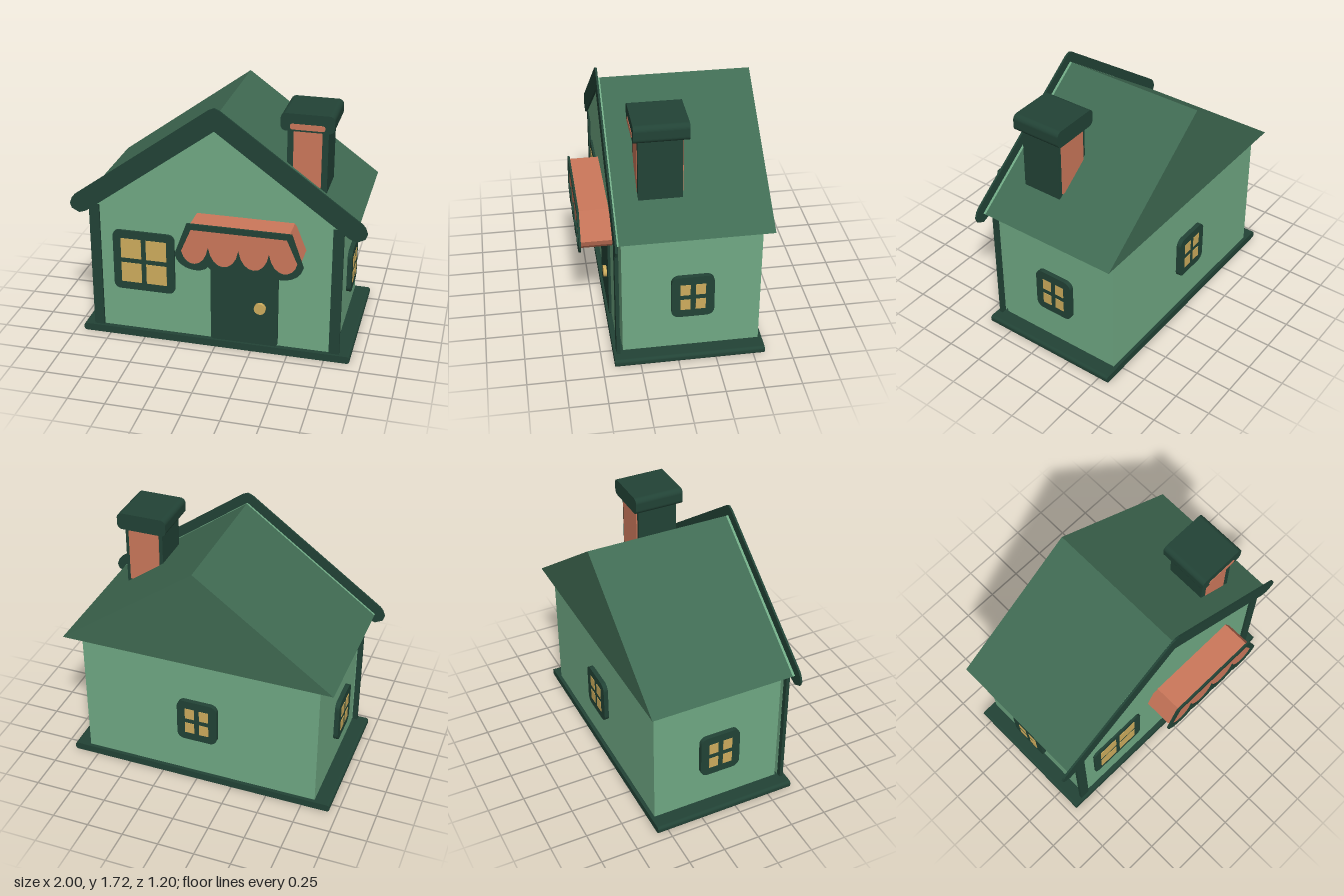
import * as THREE from 'three';

const mat = (name, color) => {
  const m = new THREE.MeshStandardMaterial({ color });
  m.name = name;
  return m;
};

export function createModel() {
  const house = new THREE.Group();
  house.name = 'house';
  const wallGreen = mat('wallGreen', 0x70a984);
  const darkGreen = mat('darkGreen', 0x224336);
  const roofGreen = mat('roofGreen', 0x406b53);
  const coral = mat('coral', 0xcc785b);
  const gold = mat('gold', 0xcfad5d);

  const add = (name, geometry, material, parent = house) => {
    const m = new THREE.Mesh(geometry, material);
    m.name = name;
    parent.add(m);
    return m;
  };
  // Box given by its limits
  const box = (name, x0, x1, y0, y1, z0, z1, material, parent) => {
    const g = new THREE.BoxGeometry(x1 - x0, y1 - y0, z1 - z0);
    g.translate((x0 + x1) / 2, (y0 + y1) / 2, (z0 + z1) / 2);
    return add(name, g, material, parent);
  };
  // Front outline pushed from z0 to z1
  const slab = (name, shape, z0, z1, material, parent) => {
    const g = new THREE.ExtrudeGeometry(shape, { depth: z1 - z0, bevelEnabled: false, curveSegments: 8 });
    g.translate(0, 0, z0);
    return add(name, g, material, parent);
  };
  const polygon = (pts) => new THREE.Shape(pts.map(([x, y]) => new THREE.Vector2(x, y)));
  const rounded = (x0, x1, y0, y1, r) => {
    const s = new THREE.Shape();
    s.moveTo(x0 + r, y0);
    s.lineTo(x1 - r, y0);
    s.absarc(x1 - r, y0 + r, r, -Math.PI / 2, 0);
    s.absarc(x1 - r, y1 - r, r, 0, Math.PI / 2);
    s.absarc(x0 + r, y1 - r, r, Math.PI / 2, Math.PI);
    s.absarc(x0 + r, y0 + r, r, Math.PI, Math.PI * 1.5);
    return s;
  };

  // Base, body and front wall
  slab('base', rounded(-0.945, 0.925, 0, 0.052, 0.02), -0.575, 0.42, darkGreen);
  box('body', -0.835, 0.815, 0.02, 0.97, -0.55, 0.357, wallGreen);
  box('frontWall', -0.835, 0.815, 0.04, 0.97, 0.377, 0.386, wallGreen);
  for (const [x0, x1] of [[-0.87, -0.8], [0.78, 0.85]]) {
    box('cornerPost', x0, x1, 0.04, 0.972, 0.378, 0.402, darkGreen);
  }

  // Roof with its front gable and bargeboard
  const gable = polygon([[-0.932, 0.97], [0.932, 0.97], [0, 1.65]]);
  slab('roof', gable, -0.6, 0.382, roofGreen);
  slab('frontGable', gable, 0.382, 0.398, wallGreen);
  const half = [
    [0.035, 1.706], [0.965, 1.03], [0.985, 1.005], [1, 0.965],
    [0.988, 0.93], [0.935, 0.903], [0.885, 0.921],
  ];
  const mirrored = half.map(([x, y]) => [-x, y]).reverse();
  slab('bargeboard', polygon([[0, 1.72], ...half, [0, 1.567], ...mirrored]), 0.398, 0.411, darkGreen);

  // Windows, built facing +z and then turned outward
  const windowUnit = (name, w, h, r, depth, paneW, paneH, gapX, gapY, pos, turn) => {
    const unit = new THREE.Group();
    unit.name = name;
    slab('windowFrame', rounded(-w / 2, w / 2, -h / 2, h / 2, r), 0, depth, darkGreen, unit);
    for (const sx of [-1, 1]) for (const sy of [-1, 1]) {
      const cx = sx * (paneW + gapX) / 2, cy = sy * (paneH + gapY) / 2;
      box('windowPane', cx - paneW / 2, cx + paneW / 2, cy - paneH / 2, cy + paneH / 2,
        depth - 0.002, depth + 0.003, gold, unit);
    }
    unit.position.set(...pos);
    unit.rotation.y = turn;
    house.add(unit);
  };
  windowUnit('frontWindow', 0.43, 0.44, 0.045, 0.028, 0.142, 0.145, 0.034, 0.035, [-0.497, 0.577, 0.373], 0);
  const small = [0.28, 0.312, 0.05, 0.031, 0.065, 0.08, 0.035, 0.035];
  windowUnit('leftWindow', ...small, [0.83, 0.477, -0.098], Math.PI / 2);
  windowUnit('rightWindow', ...small, [-0.855, 0.477, -0.098], -Math.PI / 2);
  windowUnit('backWindow', ...small, [-0.015, 0.51, -0.567], Math.PI);

  // Door and knob
  slab('door', rounded(-0.032, 0.43, 0.05, 0.8, 0.025), 0.38, 0.403, darkGreen);
  const knob = new THREE.CylinderGeometry(0.04, 0.04, 0.025, 16);
  knob.rotateX(Math.PI / 2);
  knob.translate(0.31, 0.335, 0.413);
  add('doorKnob', knob, gold);

  // Awning outline: sloped sides and four scallops along the bottom
  const awningShape = (topX0, topX1, topY, sideX0, sideX1, sideY, cuspY, bottomY) => {
    const s = new THREE.Shape();
    s.moveTo(topX1, topY);
    s.lineTo(topX0, topY);
    s.lineTo(sideX0, sideY);
    const xs = [sideX0, 0.005, 0.205, 0.405, sideX1];
    for (let i = 0; i < 4; i++) {
      const ya = i === 0 ? sideY : cuspY, yb = i === 3 ? sideY : cuspY;
      const c = (bottomY - (ya + yb) / 8) / 0.75;
      s.bezierCurveTo(xs[i] + 0.025, c, xs[i + 1] - 0.025, c, xs[i + 1], yb);
    }
    s.lineTo(topX1, topY);
    return s;
  };
  slab('awning', awningShape(-0.12, 0.53, 0.985, -0.195, 0.607, 0.795, 0.77, 0.7), 0.385, 0.596, coral);
  const rim = awningShape(-0.135, 0.55, 1.0, -0.218, 0.63, 0.775, 0.708, 0.676);
  rim.holes.push(awningShape(-0.107, 0.52, 0.96, -0.175, 0.59, 0.8, 0.84, 0.715));
  slab('awningRim', rim, 0.59, 0.604, darkGreen);

  // Chimney with brick panels front and back, and a rounded cap
  box('chimney', 0.435, 0.7, 1.13, 1.57, -0.05, 0.23, darkGreen);
  box('chimneyFrontPanel', 0.475, 0.66, 1.17, 1.56, 0.228, 0.232, coral);
  box('chimneyBackPanel', 0.46, 0.675, 1.17, 1.56, -0.058, -0.049, coral);
  slab('chimneyCap', rounded(0.395, 0.742, 1.56, 1.677, 0.035), -0.085, 0.262, darkGreen);
  slab('capPanel', rounded(0.455, 0.682, 1.572, 1.61, 0.017), 0.26, 0.265, coral);

  return house;
}
